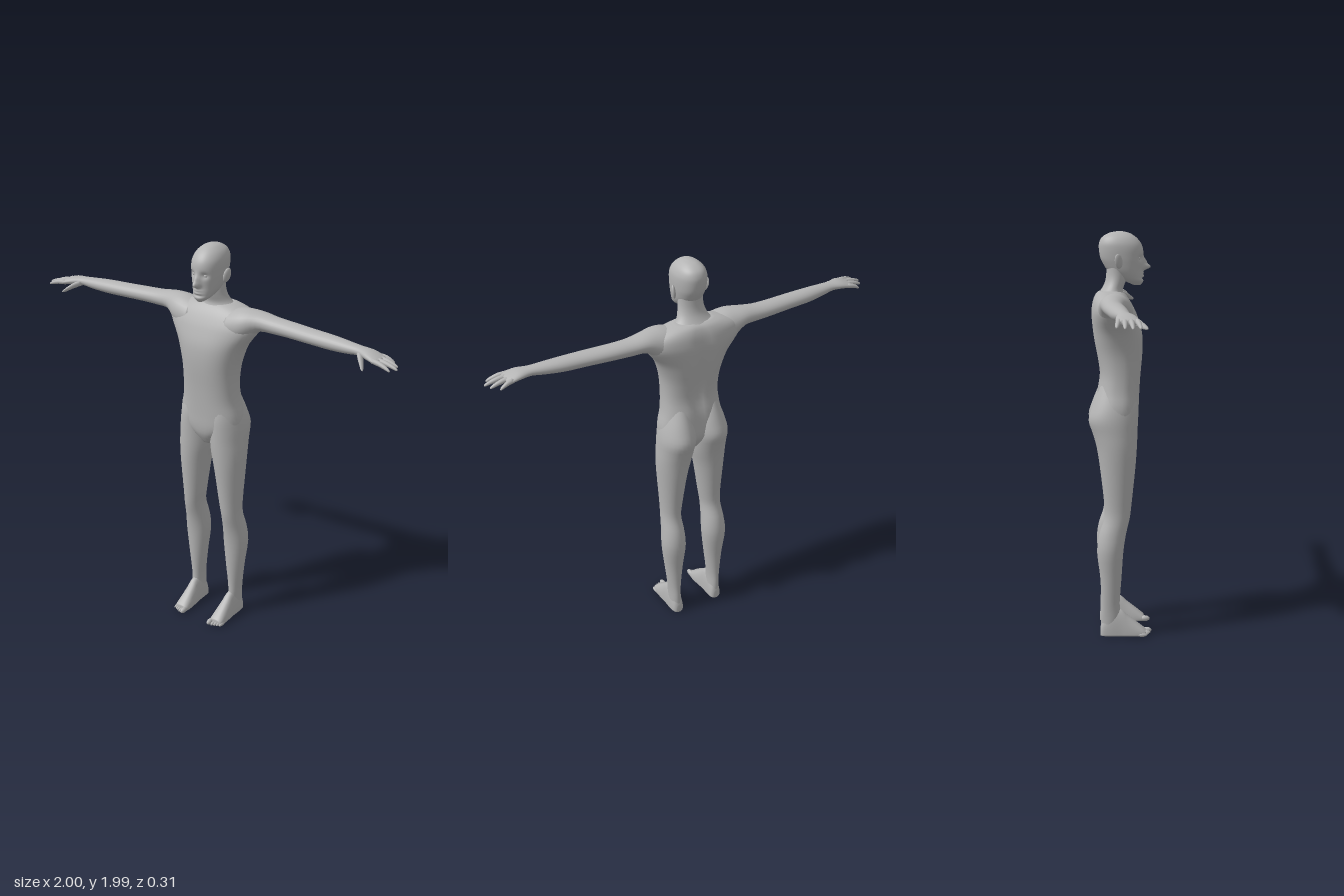
import * as THREE from 'three';

const skin = new THREE.MeshStandardMaterial({ color: 0xb4b4b4 });
skin.name = 'skin grey';

const bump = (d, r) => Math.exp(-(d * d) / (r * r));
const power = (v, p) => Math.sign(v) * Math.pow(Math.abs(v), p);

// Smoothly resamples rows of section numbers
function refine(rows, sub) {
  const out = [];
  for (let i = 0; i < rows.length - 1; i++) {
    const a = rows[Math.max(i - 1, 0)], b = rows[i], c = rows[i + 1], d = rows[Math.min(i + 2, rows.length - 1)];
    for (let s = 0; s < sub; s++) {
      const t = s / sub;
      out.push(b.map((_, k) => 0.5 * (2 * b[k] + (c[k] - a[k]) * t
        + (2 * a[k] - 5 * b[k] + 4 * c[k] - d[k]) * t * t
        + (3 * b[k] - a[k] - 3 * c[k] + d[k]) * t * t * t)));
    }
  }
  out.push(rows[rows.length - 1]);
  return out;
}

// Skins rings of n points; point(row, cos, sin) gives one corner. Ends are capped.
function loft(rows, n, sub, point) {
  const all = refine(rows, sub), pos = [], index = [];
  const centres = [];
  all.forEach((row) => {
    const c = [0, 0, 0];
    for (let j = 0; j < n; j++) {
      const a = (j / n) * Math.PI * 2;
      const p = point(row, Math.cos(a), Math.sin(a));
      pos.push(...p);
      p.forEach((v, k) => { c[k] += v / n; });
    }
    centres.push(c);
  });
  for (let i = 0; i < all.length - 1; i++) {
    for (let j = 0; j < n; j++) {
      const a = i * n + j, b = i * n + (j + 1) % n;
      index.push(a, b, a + n, b, b + n, a + n);
    }
  }
  const base = pos.length / 3, last = (all.length - 1) * n;
  pos.push(...centres[0], ...centres[centres.length - 1]);
  for (let j = 0; j < n; j++) {
    const k = (j + 1) % n;
    index.push(base, k, j, base + 1, last + j, last + k);
  }
  const g = new THREE.BufferGeometry();
  g.setAttribute('position', new THREE.Float32BufferAttribute(pos, 3));
  g.setIndex(index);
  g.computeVertexNormals();
  return g;
}

// Reflected copy across x = 0 with its corners reordered
function mirrored(geo) {
  const g = geo.clone().scale(-1, 1, 1), ix = g.index.array;
  for (let i = 0; i < ix.length; i += 3) [ix[i], ix[i + 1]] = [ix[i + 1], ix[i]];
  g.computeVertexNormals();
  return g;
}

// Upright section: y, half width, front z, back z
const upright = (p) => ([y, w, f, b], c, s) =>
  [w * power(c, p), y, (f + b) / 2 - (f - b) / 2 * power(s, p)];
// Section across an arm or finger: x, y, z, half height, half depth
const across = ([x, y, z, ry, rz], c, s) => [x, y - ry * s, z + rz * c];

export function createModel() {
  const model = new THREE.Group();
  model.name = 'human figure';
  const add = (name, geo) => {
    const m = new THREE.Mesh(geo, skin);
    m.name = name;
    model.add(m);
  };
  const pair = (name, geo) => {
    add('left ' + name, geo);
    add('right ' + name, mirrored(geo));
  };

  // Torso with a groove along the spine
  const body = upright(0.85);
  add('torso', loft([
    [0.99, 0.03, 0.05, -0.05], [1.04, 0.09, 0.08, -0.09], [1.09, 0.16, 0.09, -0.115],
    [1.15, 0.166, 0.092, -0.115], [1.22, 0.15, 0.095, -0.112], [1.30, 0.143, 0.10, -0.102],
    [1.39, 0.147, 0.108, -0.114], [1.46, 0.163, 0.11, -0.127], [1.52, 0.188, 0.104, -0.135],
    [1.58, 0.232, 0.085, -0.14], [1.62, 0.25, 0.068, -0.138], [1.66, 0.225, 0.045, -0.13],
    [1.69, 0.15, 0.02, -0.115], [1.703, 0.09, 0.0, -0.095],
  ], 48, 3, (row, c, s) => {
    const p = body(row, c, s);
    if (s > 0) p[2] += 0.02 * bump(p[0], 0.03) * bump(row[0] - 1.42, 0.24);
    return p;
  }));

  // Neck
  add('neck', loft([
    [1.64, 0.14, 0.04, -0.115], [1.685, 0.105, 0.02, -0.107], [1.71, 0.082, 0.015, -0.09],
    [1.74, 0.068, 0.025, -0.074], [1.78, 0.061, 0.035, -0.066], [1.84, 0.06, 0.03, -0.065],
  ], 32, 3, upright(1)));

  // Head with brow, eye sockets, nose and lips
  const skull = upright(0.92);
  add('head', loft([
    [1.73, 0.014, 0.10, 0.065], [1.75, 0.04, 0.113, 0.02], [1.775, 0.055, 0.11, -0.03],
    [1.80, 0.064, 0.108, -0.06], [1.83, 0.070, 0.11, -0.08], [1.86, 0.074, 0.112, -0.094],
    [1.90, 0.076, 0.111, -0.101], [1.93, 0.072, 0.10, -0.10], [1.957, 0.058, 0.077, -0.086],
    [1.977, 0.034, 0.045, -0.052], [1.985, 0.01, 0.01, -0.015],
  ], 64, 6, (row, c, s) => {
    const p = skull(row, c, s), y = row[0], x = Math.abs(p[0]);
    if (s < 0) {
      p[2] += bump(x, 0.013) * (0.033 * bump(y - 1.815, 0.014) + 0.018 * bump(y - 1.838, 0.022));
      p[2] -= 0.012 * bump(x - 0.032, 0.016) * bump(y - 1.858, 0.014);
      p[2] += 0.006 * bump(x, 0.02) * (bump(y - 1.787, 0.006) + bump(y - 1.773, 0.006));
      p[2] -= 0.006 * bump(x, 0.03) * bump(y - 1.762, 0.006);
    }
    return p;
  }));
  pair('eye', new THREE.SphereGeometry(0.011, 16, 10).translate(0.031, 1.857, 0.086));
  pair('ear', new THREE.SphereGeometry(1, 16, 12).scale(0.009, 0.036, 0.02)
    .rotateY(-0.4).rotateZ(-0.2).rotateX(-0.15).translate(0.082, 1.845, -0.008));

  // Arm from inside the shoulder to the palm
  pair('arm', loft([
    [0.10, 1.605, -0.03, 0.08, 0.09], [0.16, 1.615, -0.028, 0.083, 0.085], [0.205, 1.63, -0.03, 0.07, 0.076],
    [0.26, 1.649, -0.039, 0.046, 0.06], [0.335, 1.646, -0.04, 0.039, 0.05], [0.42, 1.645, -0.036, 0.036, 0.048],
    [0.54, 1.644, -0.025, 0.034, 0.046], [0.65, 1.643, -0.017, 0.033, 0.042], [0.74, 1.644, -0.008, 0.027, 0.035],
    [0.80, 1.646, -0.002, 0.021, 0.031], [0.85, 1.643, 0.006, 0.021, 0.044], [0.89, 1.635, 0.011, 0.017, 0.05],
    [0.915, 1.63, 0.012, 0.011, 0.047],
  ], 28, 3, across));

  // Fingers: root z, tip x, tip z
  [['index finger', 0.047, 0.98, 0.062], ['middle finger', 0.023, 1.0, 0.03],
    ['ring finger', -0.002, 0.985, -0.002], ['little finger', -0.025, 0.952, -0.036]].forEach(([name, z0, x1, z1]) => {
    const at = (t, r) => [0.885 + (x1 - 0.885) * t, 1.635 - 0.022 * t * t, z0 + (z1 - z0) * t, r, r];
    pair(name, loft([at(0, 0.012), at(0.4, 0.0115), at(0.75, 0.009), at(0.95, 0.006), at(1, 0.002)], 12, 2, across));
  });
  pair('thumb', loft([
    [0.80, 1.64, 0.012, 0.014, 0.018], [0.825, 1.63, 0.04, 0.015, 0.022], [0.845, 1.617, 0.064, 0.012, 0.018],
    [0.86, 1.605, 0.083, 0.008, 0.013], [0.868, 1.60, 0.093, 0.002, 0.003],
  ], 14, 3, across));

  // Leg rising into hip and buttock: y, inner x, outer x, front z, back z
  pair('leg', loft([
    [0.02, 0.085, 0.143, -0.02, -0.096], [0.10, 0.088, 0.145, -0.002, -0.098], [0.17, 0.085, 0.15, -0.004, -0.095],
    [0.30, 0.07, 0.165, 0.005, -0.10], [0.43, 0.056, 0.18, 0.014, -0.115], [0.52, 0.06, 0.174, 0.027, -0.105],
    [0.60, 0.065, 0.166, 0.045, -0.08], [0.68, 0.055, 0.167, 0.055, -0.08], [0.855, 0.03, 0.178, 0.073, -0.10],
    [0.95, 0.01, 0.182, 0.08, -0.115], [1.02, 0.002, 0.18, 0.083, -0.134], [1.085, 0.0, 0.177, 0.085, -0.154],
    [1.15, 0.002, 0.164, 0.084, -0.136], [1.22, 0.02, 0.14, 0.07, -0.108], [1.28, 0.04, 0.12, 0.04, -0.08],
  ], 32, 3, ([y, xi, xo, f, b], c, s) =>
    [(xi + xo) / 2 + (xo - xi) / 2 * c, y, (f + b) / 2 - (f - b) / 2 * s]));

  // Foot with a flat sole: z, centre x, half width, top y
  pair('foot', loft([
    [-0.10, 0.114, 0.014, 0.04], [-0.088, 0.114, 0.028, 0.085], [-0.05, 0.115, 0.032, 0.14],
    [0.0, 0.114, 0.033, 0.135], [0.035, 0.113, 0.036, 0.105], [0.075, 0.112, 0.039, 0.072],
    [0.108, 0.112, 0.038, 0.045], [0.125, 0.111, 0.034, 0.03],
  ], 28, 3, ([z, x, w, top], c, s) =>
    [x + w * power(c, 0.8), s > 0 ? 0.012 + (top - 0.012) * s : 0.012 + 0.012 * power(s, 0.5), z]));
  for (let i = 0; i < 5; i++) {
    const r = i ? 0.0085 : 0.013;
    pair('toe ' + (i + 1), new THREE.SphereGeometry(1, 12, 10).scale(r, r * 1.15, 0.026)
      .translate(i ? 0.091 + i * 0.0135 : 0.086, r * 1.15, 0.13 - i * 0.006));
  }
  return model;
}
